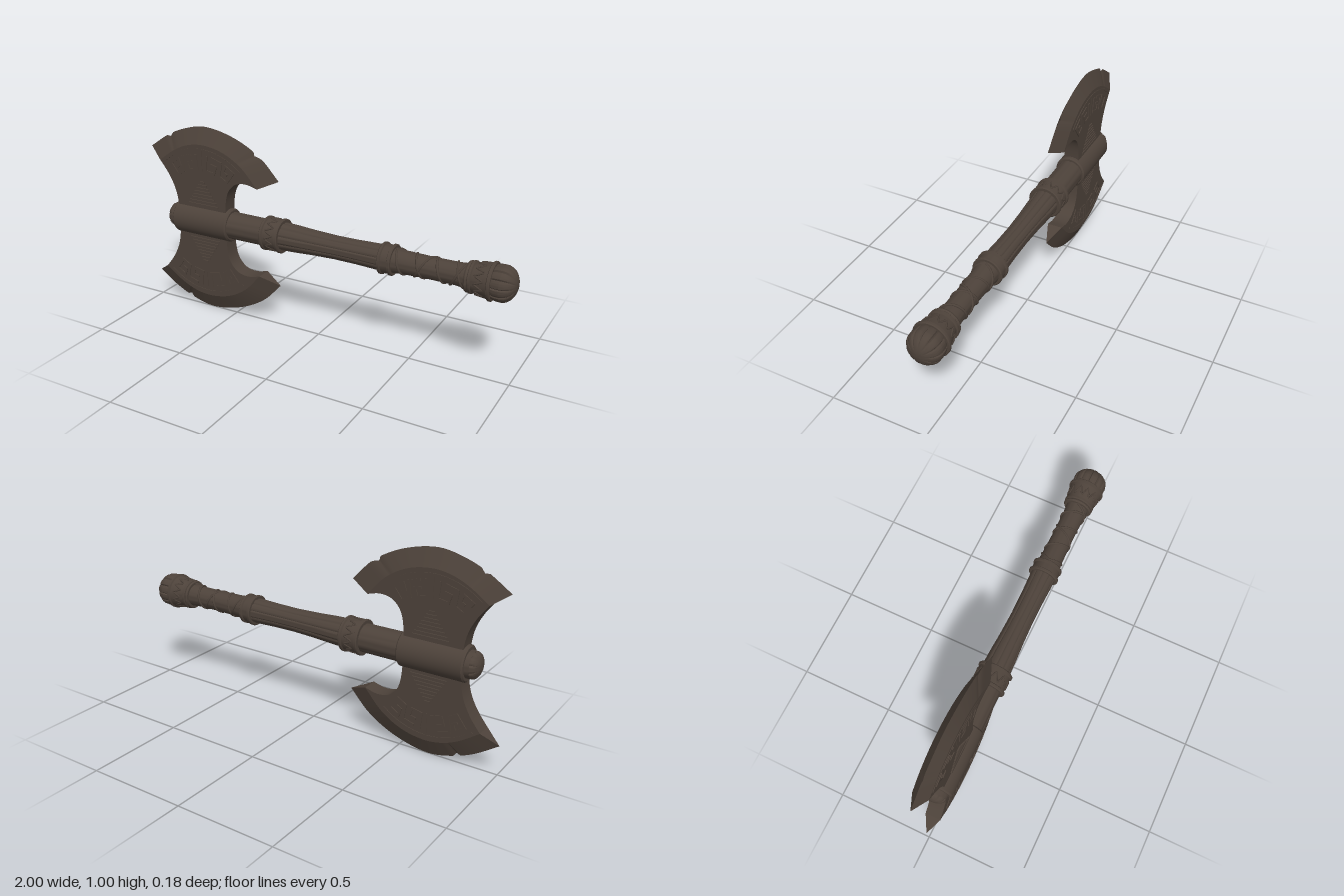
import * as THREE from 'three';
import { toCreasedNormals } from 'three/addons/utils/BufferGeometryUtils.js';

const V = (x, y, z = 0) => new THREE.Vector3(x, y, z);
const T = 0.04; // half thickness of the blades

export function createModel() {
  const bronze = new THREE.MeshStandardMaterial({ color: 0x4d423a });
  bronze.name = 'dark bronze';
  const model = new THREE.Group();
  model.name = 'doubleAxe';
  const axis = new THREE.Group(); // handle axis lies along x
  axis.name = 'axe';
  axis.position.y = 0.5;
  model.add(axis);

  const add = (name, geo, parent = axis) => {
    const mesh = new THREE.Mesh(geo, bronze);
    mesh.name = name;
    parent.add(mesh);
    return mesh;
  };

  // Turned part from [x, radius] pairs, with optional flutes around it
  const turned = (name, pts, flutes = 0, depth = 0, sides = 48) => {
    const geo = new THREE.LatheGeometry(pts.map(([x, r]) => new THREE.Vector2(r, x)), sides);
    const p = geo.attributes.position;
    for (let i = 0; flutes && i < p.count; i++) {
      const a = Math.atan2(p.getZ(i), p.getX(i));
      const k = 1 - depth * Math.pow(1 - Math.abs(Math.sin(a * flutes / 2)), 3);
      p.setX(i, p.getX(i) * k);
      p.setZ(i, p.getZ(i) * k);
    }
    geo.rotateZ(-Math.PI / 2);
    return add(name, toCreasedNormals(geo, 0.6));
  };

  // Rounded cap, dir = 1 closes towards +x, -1 towards -x
  const dome = (name, x, length, r, dir, flutes) => {
    const pts = [];
    for (let i = 0; i <= 10; i++) {
      const a = (i / 10) * Math.PI / 2;
      pts.push([x + dir * length * Math.sin(a), Math.max(r * Math.cos(a), 0.0001)]);
    }
    if (dir < 0) pts.reverse();
    return turned(name, pts, flutes, 0.1, 96);
  };

  // Handle
  dome('tipCap', -0.855, 0.035, 0.064, -1, 10);
  turned('tipNeck', [[-0.855, 0.064], [-0.82, 0.066]]);
  const sleeve = turned('socketSleeve', [[-0.832, 0.001], [-0.832, 0.08], [-0.825, 0.087], [-0.507, 0.087],
    [-0.5, 0.08], [-0.5, 0.001]]);
  sleeve.scale.z = 0.93;
  turned('upperShaft', [[-0.51, 0.07], [-0.28, 0.069]], 12, 0.03);
  turned('grip', [[-0.2, 0.071], [-0.12, 0.068], [-0.02, 0.062], [0.1, 0.058], [0.22, 0.059], [0.36, 0.064]],
    10, 0.07, 80);
  turned('wrappedGrip', [[0.4, 0.062], [0.46, 0.056], [0.6, 0.053], [0.72, 0.054], [0.79, 0.06]]);

  // Collar with a raised lip at both ends
  const collar = (name, x0, x1, r0, r1) => {
    const lip = 0.014, d = 0.007;
    turned(name, [[x0, 0.05], [x0, r0 - 0.004], [x0 + 0.004, r0], [x0 + lip, r0], [x0 + lip + 0.004, r0 - d],
      [x1 - lip - 0.004, r1 - d], [x1 - lip, r1], [x1 - 0.004, r1], [x1, r1 - 0.004], [x1, 0.05]]);
  };
  collar('upperCollar', -0.297, -0.193, 0.088, 0.088);
  collar('middleCollar', 0.345, 0.412, 0.078, 0.076);
  collar('pommelCollar', 0.785, 0.895, 0.077, 0.092);
  turned('pommelRing', [[0.768, 0.05], [0.768, 0.07], [0.776, 0.075], [0.786, 0.07], [0.786, 0.05]]);

  // Zigzag ornament around the broad collars
  const zigzag = (name, x, r, half, slope) => {
    const pts = [];
    for (let i = 0; i < 24; i++) {
      const a = (i / 24) * Math.PI * 2, dx = i % 2 ? half : -half;
      pts.push(V(x + dx, (r + dx * slope) * Math.cos(a), (r + dx * slope) * Math.sin(a)));
    }
    const path = new THREE.CatmullRomCurve3(pts, true, 'catmullrom', 0.2);
    add(name, new THREE.TubeGeometry(path, 144, 0.0045, 5, true));
  };
  zigzag('upperCollarOrnament', -0.245, 0.081, 0.022, 0);
  zigzag('pommelCollarOrnament', 0.84, 0.0775, 0.022, 0.14);

  // Leather straps winding both ways round the lower grip
  for (const [dir, turns] of [[1, 3.5], [-1, 2]]) {
    const pts = [];
    for (let i = 0; i <= 60; i++) {
      const t = i / 60, a = dir * t * turns * Math.PI * 2;
      const r = 0.053 + 0.006 * Math.pow(2 * t - 1, 2);
      pts.push(V(0.42 + 0.35 * t, r * Math.cos(a), r * Math.sin(a)));
    }
    add('gripStrap', new THREE.TubeGeometry(new THREE.CatmullRomCurve3(pts), 140, 0.006, 6));
  }

  // Ribbed pommel
  turned('pommelNeck', [[0.89, 0.078], [0.91, 0.085], [0.935, 0.086]], 12, 0.1, 96);
  dome('pommel', 0.935, 0.065, 0.086, 1, 12);

  // Sampled curve through a few points
  const spline = (pts, n) => new THREE.CatmullRomCurve3(pts.map(([x, y]) => V(x, y))).getPoints(n);

  const N = 48;
  const edgePts = [[-1, 0.355], [-0.88, 0.433], [-0.78, 0.475], [-0.655, 0.5], [-0.48, 0.466], [-0.33, 0.388], [-0.222, 0.28]];
  const shoulderPts = [[-0.92, 0.3], [-0.82, 0.368], [-0.74, 0.402], [-0.65, 0.415], [-0.53, 0.395], [-0.42, 0.335], [-0.325, 0.235]];
  const rightSide = [[-0.325, 0.235], [-0.39, 0.25], [-0.45, 0.24], [-0.49, 0.205], [-0.51, 0.16], [-0.52, 0.08], [-0.52, 0]];
  const leftSide = [[-0.815, 0], [-0.815, 0.08], [-0.832, 0.16], [-0.87, 0.235], [-0.92, 0.3]];

  // Thin raised bar between two points on one blade face
  const bar = (parent, name, a, b, width, side, height = 0.006) => {
    const dx = b.x - a.x, dy = b.y - a.y;
    const geo = new THREE.BoxGeometry(Math.hypot(dx, dy) + width * 0.8, width, height);
    geo.rotateZ(Math.atan2(dy, dx));
    geo.translate((a.x + b.x) / 2, (a.y + b.y) / 2, side * (T + height / 2 - 0.001));
    add(name, geo, parent);
  };

  // Polar point on the blade face, degrees from the blade's centre line
  const polar = (deg, r) => V(-0.655 + r * Math.sin(deg * Math.PI / 180), 0.04 + r * Math.cos(deg * Math.PI / 180));
  const keys = [
    [[6, 0.32], [6, 0.245], [18, 0.245], [18, 0.285], [12, 0.285]],
    [[12, 0.32], [22, 0.32], [26, 0.25], [37, 0.25], [37, 0.32], [27, 0.32], [28, 0.285], [32, 0.285]],
  ];

  const makeBlade = (name, notches) => {
    const blade = new THREE.Group();
    blade.name = name;
    axis.add(blade);
    const edge = spline(edgePts, N), shoulder = spline(shoulderPts, N);
    // Chips in the cutting edge
    for (const [i, depth] of notches) edge[i].lerp(shoulder[i], depth);

    // Flat body
    const outline = [...shoulder, ...spline(rightSide, 24).slice(1), ...spline(leftSide, 16).slice(0, -1)];
    const body = new THREE.ExtrudeGeometry(new THREE.Shape(outline.map(p => new THREE.Vector2(p.x, p.y))),
      { depth: 2 * T, bevelEnabled: false });
    body.translate(0, 0, -T);
    add('bladeBody', toCreasedNormals(body, 0.6), blade);

    // Sharpened edge: both bevels and the two pointed ends
    const pos = [];
    const tri = (...ps) => ps.forEach(p => pos.push(p.x, p.y, p.z));
    const lift = (p, z) => V(p.x, p.y, z);
    for (let i = 0; i < N; i++) {
      const [e0, e1, s0, s1] = [edge[i], edge[i + 1], shoulder[i], shoulder[i + 1]];
      tri(lift(s0, T), lift(s1, T), e1);
      tri(lift(s0, T), e1, e0);
      tri(lift(s1, -T), lift(s0, -T), e1);
      tri(e1, lift(s0, -T), e0);
    }
    tri(lift(shoulder[N], T), lift(shoulder[N], -T), edge[N]);
    tri(lift(shoulder[0], -T), lift(shoulder[0], T), edge[0]);
    const bevel = new THREE.BufferGeometry();
    bevel.setAttribute('position', new THREE.Float32BufferAttribute(pos, 3));
    add('cuttingEdge', toCreasedNormals(bevel, 0.4), blade);

    // Relief on both faces
    for (const side of [1, -1]) {
      for (let d = -40; d < 40; d += 5) bar(blade, 'borderArc', polar(d, 0.35), polar(d + 5, 0.35), 0.009, side, 0.004);
      bar(blade, 'centreRib', polar(0, 0.24), polar(0, 0.35), 0.007, side, 0.004);
      for (const mirror of [1, -1]) for (const key of keys)
        for (let i = 1; i < key.length; i++)
          bar(blade, 'meander', polar(mirror * key[i - 1][0], key[i - 1][1]), polar(mirror * key[i][0], key[i][1]), 0.012, side, 0.005);
      // Stepped triangle
      for (let i = 0; i < 8; i++) {
        const y = 0.095 + i * 0.0175, w = 0.088 * (1 - i / 8);
        bar(blade, 'triangleStep', V(-0.655 - w, y), V(-0.655 + w, y), 0.01, side, 0.007);
      }
    }
    return blade;
  };

  makeBlade('upperBlade', [[8, 0.15], [9, 0.08], [39, 0.16], [40, 0.06]]);
  makeBlade('lowerBlade', [[14, 0.2], [15, 0.08]]).rotation.x = Math.PI;

  return model;
}
